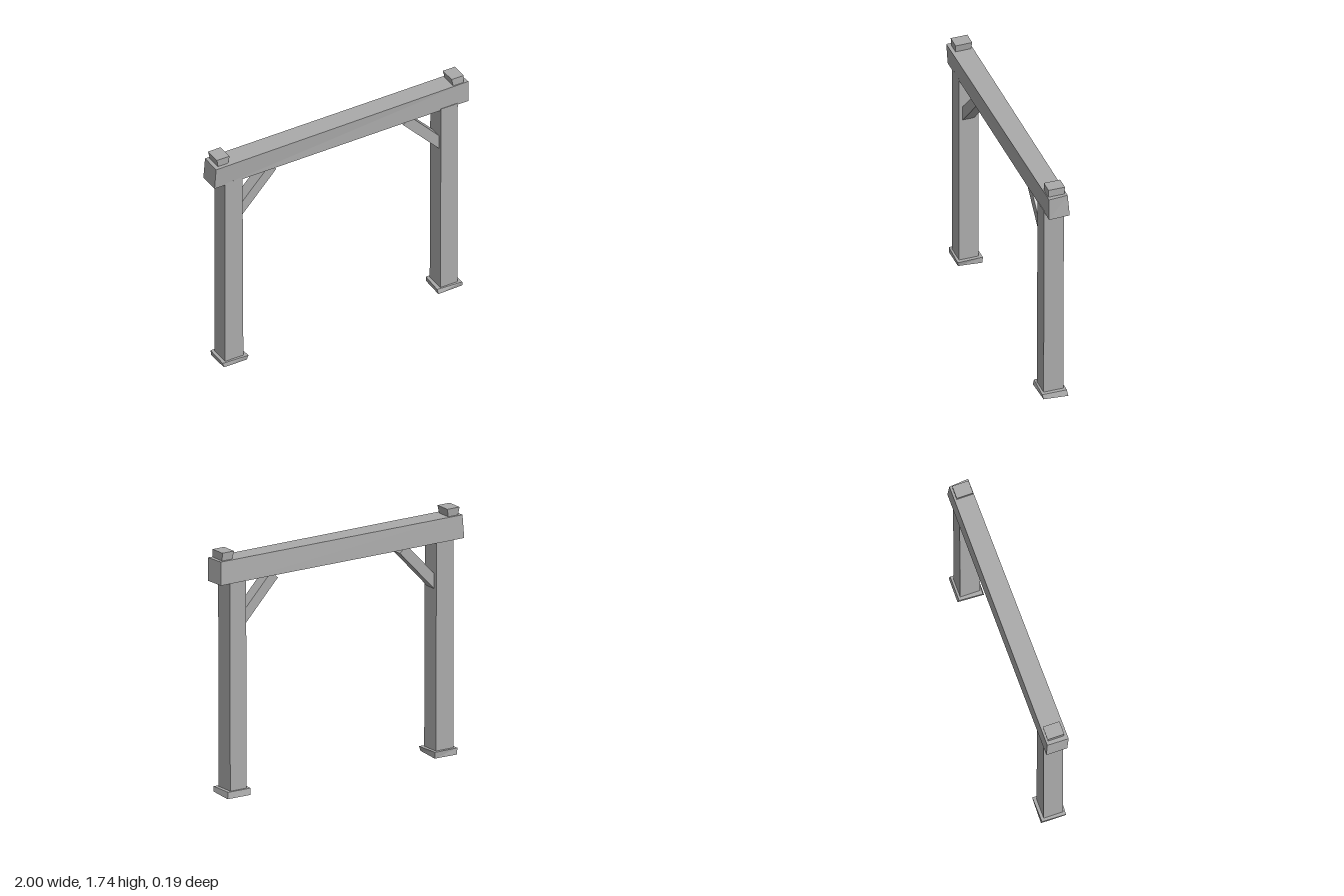
import * as THREE from 'three';

export function createModel() {
  const group = new THREE.Group();
  group.name = 'timberGate';
  const grey = new THREE.MeshStandardMaterial({ color: 0xaaaaaa, flatShading: true });
  grey.name = 'plain grey';

  // Slightly crooked block: four [x, z] corners below and above,
  // ordered back left, back right, front right, front left.
  function block(name, y0, bottom, y1, top) {
    const geo = new THREE.BoxGeometry(1, 1, 1);
    const pos = geo.attributes.position;
    for (let i = 0; i < pos.count; i++) {
      const right = pos.getX(i) > 0;
      const k = pos.getZ(i) < 0 ? (right ? 1 : 0) : (right ? 2 : 3);
      const up = pos.getY(i) > 0;
      const [x, z] = (up ? top : bottom)[k];
      pos.setXYZ(i, x, up ? y1 : y0, z);
    }
    geo.computeVertexNormals();
    const mesh = new THREE.Mesh(geo, grey);
    mesh.name = name;
    group.add(mesh);
    return mesh;
  }
  const rect = (x0, x1, z0, z1) => [[x0, z0], [x1, z0], [x1, z1], [x0, z1]];

  // Cross beam with uneven hewn ends
  block('crossBeam',
    1.517, [[-1, -0.08], [0.995, -0.084], [1, 0.066], [-1, 0.07]],
    1.68, [[-0.992, -0.071], [0.987, -0.072], [0.998, 0.066], [-0.995, 0.082]]);

  // Posts
  block('rightPost', 0.03, rect(-0.918, -0.774, -0.07, 0.07), 1.53, rect(-0.918, -0.78, -0.07, 0.07));
  block('leftPost', 0.03, rect(0.774, 0.908, -0.07, 0.073), 1.53, rect(0.78, 0.912, -0.072, 0.07));

  // Foot plates, tilted a touch
  const rightFoot = block('rightFoot',
    0.007, [[-0.93, -0.094], [-0.752, -0.09], [-0.755, 0.085], [-0.935, 0.085]],
    0.045, [[-0.938, -0.09], [-0.752, -0.094], [-0.745, 0.09], [-0.943, 0.082]]);
  const leftFoot = block('leftFoot',
    0.007, [[0.76, -0.094], [0.945, -0.092], [0.942, 0.085], [0.747, 0.092]],
    0.045, [[0.752, -0.085], [0.935, -0.085], [0.934, 0.092], [0.743, 0.082]]);
  for (const foot of [rightFoot, leftFoot]) {
    // Lower the back edge of the underside to the ground
    const pos = foot.geometry.attributes.position;
    for (let i = 0; i < pos.count; i++) {
      if (pos.getY(i) < 0.02) pos.setY(i, pos.getZ(i) < 0 ? 0 : 0.011);
    }
    foot.geometry.computeVertexNormals();
  }

  // Caps on top of the beam, flaring upward
  block('rightCap', 1.67, rect(-0.963, -0.887, -0.055, 0.055), 1.736, rect(-0.974, -0.875, -0.062, 0.058));
  block('leftCap', 1.67, rect(0.885, 0.965, -0.055, 0.06), 1.736, rect(0.871, 0.966, -0.06, 0.058));

  // Diagonal braces between posts and beam
  for (const side of [-1, 1]) {
    const brace = new THREE.Mesh(new THREE.BoxGeometry(0.45, 0.074, 0.086), grey);
    brace.name = side < 0 ? 'rightBrace' : 'leftBrace';
    const angle = 0.815;
    brace.position.set(side * 0.681, 1.344, 0);
    brace.rotation.z = -side * angle;
    group.add(brace);
  }
  return group;
}
